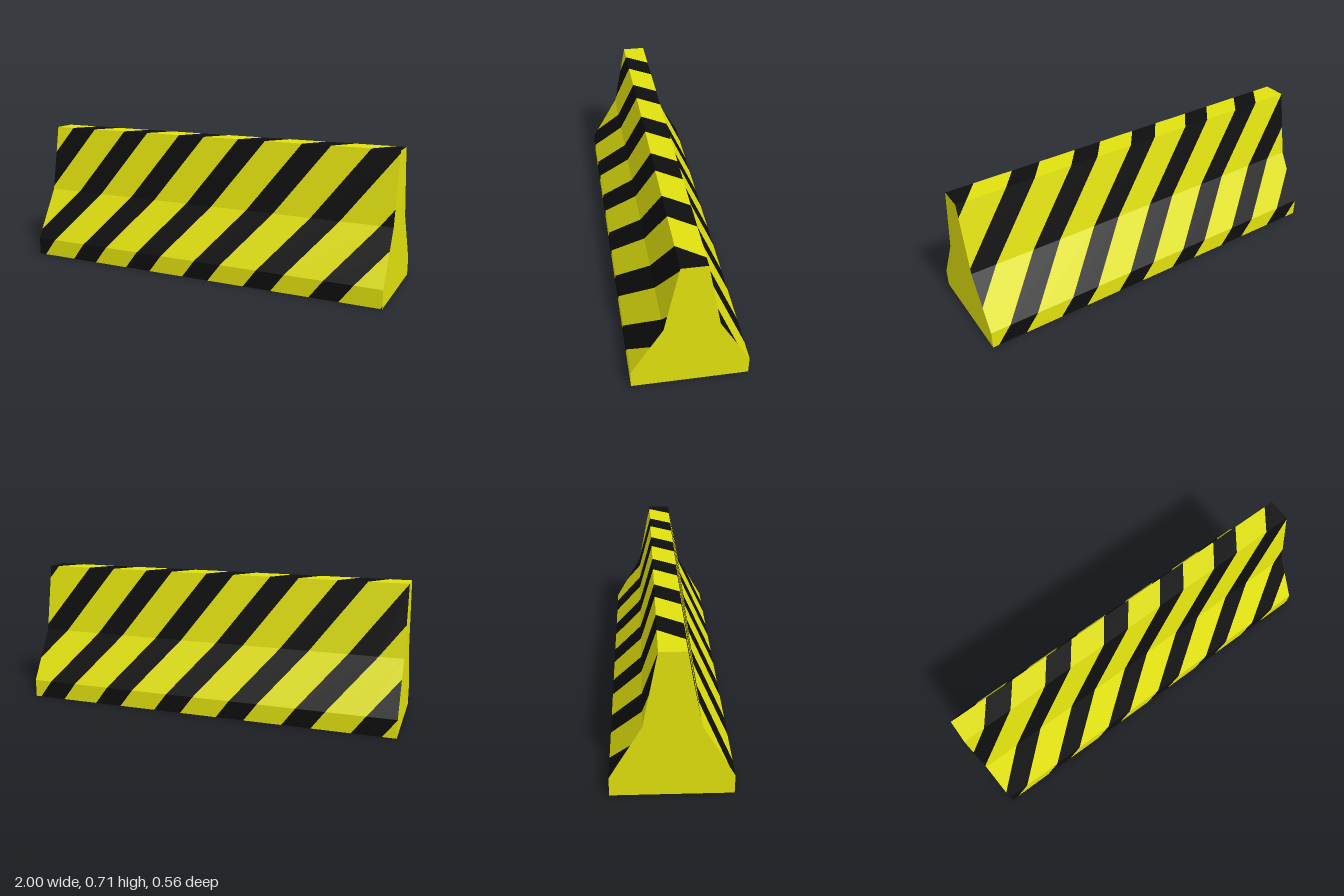
import * as THREE from 'three';

// Half profile from the foot up to the crown, as [z, y]
const HALF = [[0.279, 0], [0.279, 0.094], [0.128, 0.357], [0.06, 0.715]];
const PROFILE = [...HALF, ...HALF.map(([z, y]) => [-z, y]).reverse()];

// Slanted bands that wrap over the barrier: x shift per unit of surface length
const SLANT = 0.748, PERIOD = 0.35, BLACK_START = -0.06, BLACK_WIDTH = 0.15;

// Keeps the part of a polygon of [x, s] points where side * x <= 1
function clip(poly, side) {
  const out = [];
  poly.forEach((p, i) => {
    const q = poly[(i + 1) % poly.length];
    const dp = side * p[0] - 1, dq = side * q[0] - 1;
    if (dp <= 0) out.push(p);
    if (dp * dq < 0) {
      const t = dp / (dp - dq);
      out.push([p[0] + t * (q[0] - p[0]), p[1] + t * (q[1] - p[1])]);
    }
  });
  return out;
}

// All bands of one colour, folded over the profile
function bandGeometry(start, width) {
  const positions = [];
  let s0 = 0;
  for (let i = 0; i < PROFILE.length - 1; i++) {
    const [z0, y0] = PROFILE[i], [z1, y1] = PROFILE[i + 1];
    const length = Math.hypot(z1 - z0, y1 - y0), s1 = s0 + length;
    const fold = ([x, s]) => {
      const t = (s - s0) / length;
      return [x, y0 + t * (y1 - y0), z0 + t * (z1 - z0)];
    };
    for (let n = -8; n <= 4; n++) {
      const a = start + n * PERIOD, b = a + width;
      const band = [
        [a + SLANT * s0, s0], [b + SLANT * s0, s0],
        [b + SLANT * s1, s1], [a + SLANT * s1, s1],
      ];
      const poly = clip(clip(band, 1), -1).map(fold);
      for (let k = 1; k < poly.length - 1; k++) {
        positions.push(...poly[0], ...poly[k], ...poly[k + 1]);
      }
    }
    s0 = s1;
  }
  const geometry = new THREE.BufferGeometry();
  geometry.setAttribute('position', new THREE.Float32BufferAttribute(positions, 3));
  geometry.computeVertexNormals();
  return geometry;
}

export function createModel() {
  const yellow = new THREE.MeshStandardMaterial({ color: 0xe0e00e, side: THREE.DoubleSide });
  yellow.name = 'safetyYellow';
  const black = new THREE.MeshStandardMaterial({ color: 0x0e0e0e, side: THREE.DoubleSide });
  black.name = 'stripeBlack';

  const barrier = new THREE.Group();
  barrier.name = 'roadBarrier';
  const add = (name, geometry, material) => {
    const mesh = new THREE.Mesh(geometry, material);
    mesh.name = name;
    barrier.add(mesh);
    return mesh;
  };

  // Striped shell, open underneath
  add('blackStripes', bandGeometry(BLACK_START, BLACK_WIDTH), black);
  add('yellowStripes', bandGeometry(BLACK_START + BLACK_WIDTH, PERIOD - BLACK_WIDTH), yellow);

  // Plain end walls
  const shape = new THREE.Shape(PROFILE.map(([z, y]) => new THREE.Vector2(z, y)));
  for (const side of [-1, 1]) {
    const end = add(side > 0 ? 'leftEnd' : 'rightEnd', new THREE.ShapeGeometry(shape), yellow);
    end.rotation.y = side * Math.PI / 2;
    end.position.x = side;
  }
  return barrier;
}
